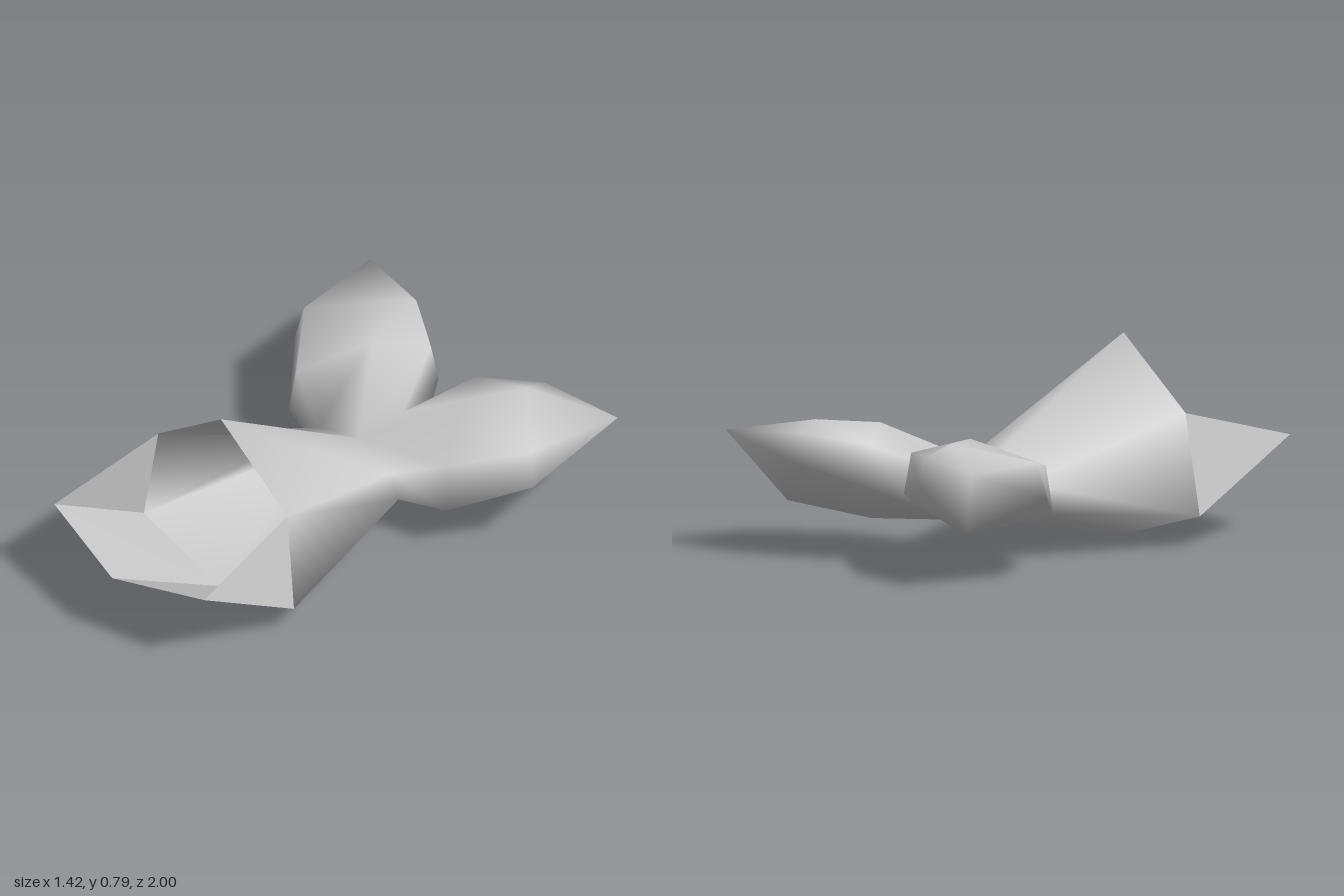
import * as THREE from 'three';
import { mergeVertices } from 'three/addons/utils/BufferGeometryUtils.js';

const grey = new THREE.MeshStandardMaterial({ color: 0xcccccc, side: THREE.DoubleSide });
grey.name = 'plain grey';

// Mirror a loop of points across x = 0, keeping its turning sense
const mirror = (loop) => loop.map(([x, y, z]) => [-x, y, z]).reverse();

// Triangles joining a closed ring to the ring behind it
function bridge(front, back) {
  const tris = [];
  front.forEach((a, i) => {
    const j = (i + 1) % front.length;
    tris.push(a, back[i], front[j], front[j], back[i], back[j]);
  });
  return tris;
}

// Triangles closing a ring to a single point
function point(ring, tip) {
  return ring.flatMap((a, i) => [a, tip, ring[(i + 1) % ring.length]]);
}

function makeMesh(name, tris, smooth) {
  let geometry = new THREE.BufferGeometry();
  geometry.setAttribute('position', new THREE.Float32BufferAttribute(tris.flat(), 3));
  if (smooth) geometry = mergeVertices(geometry, 1e-4);
  geometry.computeVertexNormals();
  const mesh = new THREE.Mesh(geometry, grey);
  mesh.name = name;
  return mesh;
}

export function createModel() {
  const group = new THREE.Group();
  group.name = 'tailFin';

  // Six-sided rings: bottom, lower side, upper side, top, then the other side
  const mouth = [
    [0, 0, 0.44], [0.43, 0.12, 0.44], [0.37, 0.52, 0.42],
    [0, 0.79, 0.43], [-0.37, 0.52, 0.42], [-0.43, 0.12, 0.44],
  ];
  const waist = [
    [0, 0.135, -0.31], [0.24, 0.19, -0.28], [0.21, 0.3, -0.27],
    [0, 0.35, -0.29], [-0.21, 0.3, -0.27], [-0.24, 0.19, -0.28],
  ];

  // Fluke rings: bottom, outer low, outer high, top, inner high, inner low
  const flukeRings = [
    [...waist.slice(0, 4), [0, 0.36, -0.52], [0, 0.22, -0.63]],
    [[0.28, 0.145, -0.63], [0.45, 0.22, -0.34], [0.43, 0.41, -0.36],
      [0.26, 0.52, -0.6], [0.13, 0.47, -0.79], [0.12, 0.31, -0.82]],
    [[0.52, 0.21, -0.85], [0.68, 0.335, -0.58], [0.65, 0.475, -0.6],
      [0.39, 0.54, -0.82], [0.37, 0.5, -0.93], [0.36, 0.39, -0.96]],
  ];
  const tip = [0.71, 0.48, -1];

  // Hollow body and both flukes share one smooth skin
  const skin = bridge(mouth, waist);
  for (const side of [1, -1]) {
    const rings = side > 0 ? flukeRings : flukeRings.map(mirror);
    for (let i = 0; i < rings.length - 1; i++) skin.push(...bridge(rings[i], rings[i + 1]));
    skin.push(...point(rings[rings.length - 1], [side * tip[0], tip[1], tip[2]]));
  }
  group.add(makeMesh('bodyAndFlukes', skin, true));

  // Flat-faced lip jutting forward below the open mouth
  const [bottom, low, high] = mouth;
  const corner = [0.43, 0.39, 0.91];
  const prow = [0, 0.31, 1];
  const lip = [bottom, low, corner, bottom, corner, prow];
  const cheek = [low, high, corner];
  group.add(makeMesh('lip', [...lip, ...mirror(lip)], false));
  group.add(makeMesh('leftCheek', cheek, false));
  group.add(makeMesh('rightCheek', mirror(cheek), false));

  return group;
}
